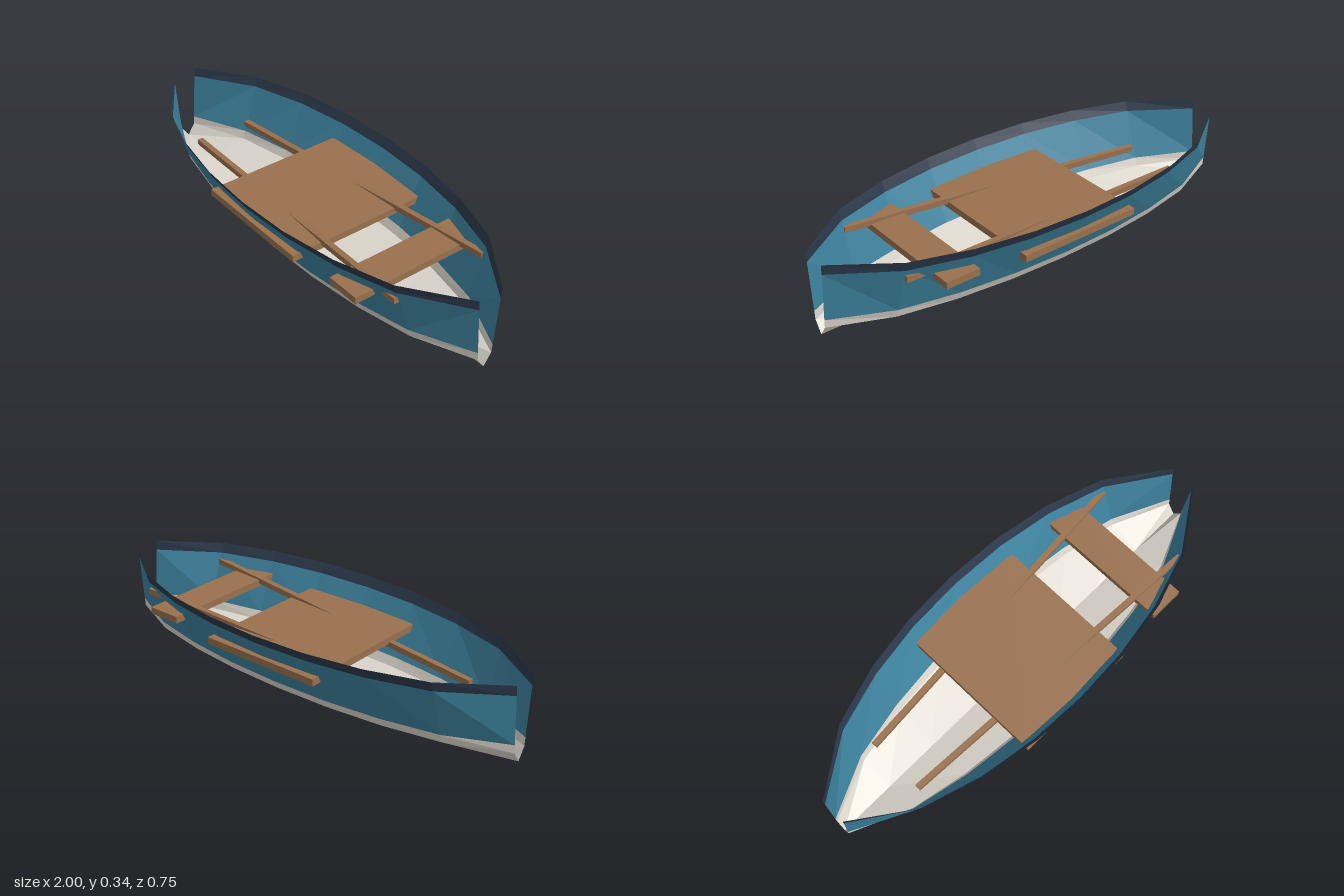
import * as THREE from 'three';

const paint = (name, color, side = THREE.FrontSide) => {
  const m = new THREE.MeshStandardMaterial({ color, side, flatShading: true });
  m.name = name;
  return m;
};

// Half-widths of the gunwale and chine at evenly spaced stations
const STATIONS = [-1, -0.75, -0.5, -0.25, 0, 0.25, 0.5, 0.75, 1];
const GUNWALE = [0.056, 0.235, 0.317, 0.36, 0.373, 0.36, 0.317, 0.235, 0.056];
const CHINE_Y = 0.05, TOP_Y = 0.343;

// Half-width of the hull at station i and height y
function halfWidth(i, y) {
  const top = GUNWALE[i], chine = top * 0.61;
  if (y <= CHINE_Y) return chine * y / CHINE_Y;
  return chine + (top - chine) * (y - CHINE_Y) / (TOP_Y - CHINE_Y);
}

// One lengthwise strake between two heights, on the side given by s
function strake(y0, y1, s) {
  const pos = [], index = [];
  STATIONS.forEach((x, i) => {
    pos.push(x, y0, s * halfWidth(i, y0), x, y1, s * halfWidth(i, y1));
    if (i === 0) return;
    const a = 2 * i - 2, b = a + 1, c = a + 2, d = a + 3;
    if (s > 0) index.push(a, c, d, a, d, b);
    else index.push(a, d, c, a, b, d);
  });
  let g = new THREE.BufferGeometry();
  g.setAttribute('position', new THREE.Float32BufferAttribute(pos, 3));
  g.setIndex(index);
  g = g.toNonIndexed();
  g.computeVertexNormals();
  return g;
}

export function createModel() {
  const boat = new THREE.Group();
  boat.name = 'rowingBoat';
  const white = paint('off-white hull', 0xdcd7cd, THREE.DoubleSide);
  const blue = paint('blue hull', 0x3d829e, THREE.DoubleSide);
  const navy = paint('navy rim', 0x2b384a, THREE.DoubleSide);
  const wood = paint('brown wood', 0x99704d);

  const add = (name, geometry, material, x = 0, y = 0, z = 0) => {
    const mesh = new THREE.Mesh(geometry, material);
    mesh.name = name;
    mesh.position.set(x, y, z);
    boat.add(mesh);
    return mesh;
  };

  // Open-ended hull shell, bottom to rim on both sides
  for (const [side, s] of [['front', 1], ['back', -1]]) {
    add(side + 'Bottom', strake(0, CHINE_Y, s), white);
    add(side + 'LowerBand', strake(CHINE_Y, 0.087, s), white);
    add(side + 'Planking', strake(0.087, 0.3, s), blue);
    add(side + 'Rim', strake(0.3, TOP_Y, s), navy);
  }

  // Seats, poking slightly through the planking
  add('middleSeat', new THREE.BoxGeometry(0.56, 0.03, 0.674), wood, 0, 0.215, 0);
  add('endSeat', new THREE.BoxGeometry(0.152, 0.03, 0.636), wood, 0.56, 0.235, 0);

  // Oars, sloping up and outward beneath the middle seat
  for (const [side, s] of [['front', 1], ['back', -1]]) {
    const from = new THREE.Vector3(-0.69, 0.172, s * 0.125);
    const to = new THREE.Vector3(0.748, 0.262, s * 0.217);
    const oar = add(side + 'Oar', new THREE.BoxGeometry(0.025, 0.025, from.distanceTo(to)), wood);
    oar.position.copy(from).lerp(to, 0.5);
    oar.lookAt(to);
  }
  return boat;
}
